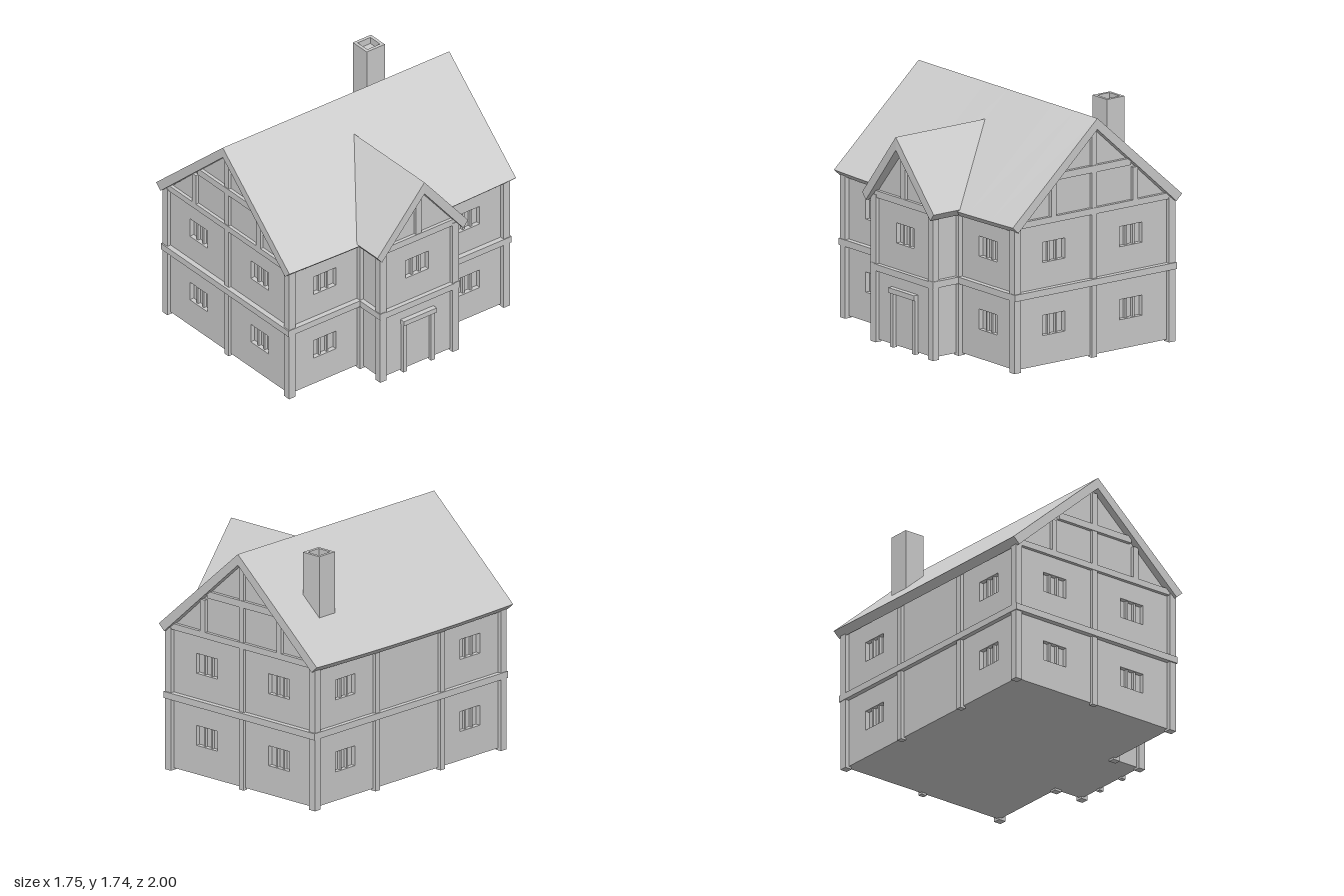
import * as THREE from 'three';

const material = new THREE.MeshStandardMaterial({ color: 0xcccccc, flatShading: true });
const RIDGE_X = -0.12, BASE = 0.015, SKIN = 0.035;

export function createModel() {
  const house = new THREE.Group();
  house.name = 'timberFramedHouse';

  const add = (name, geometry) => {
    const mesh = new THREE.Mesh(geometry, material);
    mesh.name = name;
    house.add(mesh);
    return mesh;
  };

  // Box given by its limits on each axis
  const beam = (name, x0, x1, y0, y1, z0, z1) =>
    add(name, new THREE.BoxGeometry(x1 - x0, y1 - y0, z1 - z0)
      .translate((x0 + x1) / 2, (y0 + y1) / 2, (z0 + z1) / 2));

  const shapeOf = (points) => new THREE.Shape(points.map(([x, y]) => new THREE.Vector2(x, y)));

  // Outline with rectangular openings [u0, u1, v0, v1], extruded along +z
  const extrude = (points, depth, holes = [], steps = 1) => {
    const shape = shapeOf(points);
    for (const [a, b, c, d] of holes) {
      shape.holes.push(new THREE.Path([[a, c], [a, d], [b, d], [b, c]].map(([x, y]) => new THREE.Vector2(x, y))));
    }
    return new THREE.ExtrudeGeometry(shape, { depth, steps, bevelEnabled: false });
  };

  // Gable outline: u limits, eave height, apex
  const gable = (u0, u1, eave, um, apex) => [[u0, BASE], [u1, BASE], [u1, eave], [um, apex], [u0, eave]];

  const floors = [[0.225, 0.37], [0.75, 0.895]];
  const windowsAt = (starts) => starts.flatMap((u) => floors.map(([a, b]) => [u, u + 0.2, a, b]));

  // Two upright bars in each window opening; facesX means the wall looks along x
  const bars = (holes, depth, facesX) => {
    for (const [a, b, c, d] of holes) {
      for (const t of [1 / 3, 2 / 3]) {
        const u = a + (b - a) * t, w = 0.008;
        if (facesX) beam('windowBar', depth - 0.012, depth + 0.012, c, d, -u - w, -u + w);
        else beam('windowBar', u - w, u + w, c, d, depth - 0.012, depth + 0.012);
      }
    }
  };

  // Inner cores, which also form the window panes
  const mainGable = gable(-0.8, 0.56, 1.03, RIDGE_X, 1.65);
  add('mainCore', extrude(gable(-0.765, 0.525, 1.03, RIDGE_X, 1.64), 1.82).translate(0, 0, -0.91));
  const wingGable = gable(-0.32, 0.32, 1.07, 0, 1.455);
  add('wingCore', extrude(wingGable, 0.655).rotateY(Math.PI / 2).translate(0.1, 0, 0));

  // Gable walls, front and back
  const gableWindows = windowsAt([-0.56, 0.125]);
  for (const s of [1, -1]) {
    add(s > 0 ? 'frontWall' : 'backWall', extrude(mainGable, SKIN, gableWindows))
      .position.z = s > 0 ? 0.91 : -0.945;
    bars(gableWindows, s * 0.92, false);
  }

  // Long side walls
  const sideWindows = windowsAt([-0.735, 0.535]);
  const sideOutline = [[-0.94, BASE], [0.94, BASE], [0.94, 1.04], [-0.94, 1.04]];
  for (const [name, x, barX] of [['rightWall', 0.525, 0.535], ['leftWall', -0.8, -0.775]]) {
    add(name, extrude(sideOutline, SKIN, sideWindows).rotateY(Math.PI / 2)).position.x = x;
    bars(sideWindows, barX, true);
  }

  // Wing front wall
  const wingWindow = [[-0.1, 0.1, 0.75, 0.895]];
  add('wingWall', extrude(wingGable, SKIN, wingWindow).rotateY(Math.PI / 2)).position.x = 0.755;
  bars(wingWindow, 0.765, true);

  // Timber frame on both gable ends
  for (const s of [1, -1]) {
    const gableBeam = (name, x0, x1, y0, y1, out = 0.97) =>
      beam(name, x0, x1, y0, y1, Math.min(s * 0.93, s * out), Math.max(s * 0.93, s * out));
    gableBeam('gableCentrePost', -0.142, -0.098, 0, 1.62, 0.965);
    gableBeam('gableFloorBeam', -0.835, 0.6, 0.52, 0.568, 0.985);
    gableBeam('gableEaveBeam', -0.8, 0.56, 1.03, 1.075);
    gableBeam('gableTieBeam', -0.44, 0.2, 1.33, 1.38);
    gableBeam('gableStrut', -0.503, -0.46, 1.07, 1.31);
    gableBeam('gableStrut', 0.218, 0.265, 1.07, 1.31);
    for (const [x0, x1] of [[-0.83, -0.775], [0.538, 0.595]]) {
      beam('cornerPost', x0, x1, 0, 1.04, s * 0.947 - 0.028, s * 0.947 + 0.028);
    }

    // Long wall and wing posts, mirrored in z
    beam('leftWallPost', -0.825, -0.78, 0, 1.04, s * 0.33 - 0.022, s * 0.33 + 0.022);
    beam('junctionPost', 0.54, 0.595, 0, 1.04, s * 0.325 - 0.025, s * 0.325 + 0.025);
    beam('wingCornerPost', 0.768, 0.82, 0, 1.06, s * 0.32 - 0.028, s * 0.32 + 0.028);
    beam('wingSideFloorBeam', 0.54, 0.824, 0.52, 0.568, s * 0.328 - 0.026, s * 0.328 + 0.026);
    beam('rightFloorBeam', 0.54, 0.6, 0.52, 0.568, s * 0.645 - 0.335, s * 0.645 + 0.335);
    beam('doorPost', 0.78, 0.815, 0, 0.39, s * 0.123 - 0.017, s * 0.123 + 0.017);
  }
  beam('leftFloorBeam', -0.835, -0.78, 0.52, 0.568, -0.98, 0.98);
  beam('wingFloorBeam', 0.77, 0.824, 0.515, 0.563, -0.35, 0.35);
  beam('wingEaveBeam', 0.77, 0.815, 1.04, 1.09, -0.32, 0.32);
  beam('wingGablePost', 0.77, 0.812, 1.08, 1.43, -0.024, 0.024);
  beam('doorLintel', 0.78, 0.828, 0.39, 0.427, -0.145, 0.145);

  // Main roof: chevron slab whose eaves sag gently mid-length
  const roof = extrude([[-0.87, 1.06], [-0.82, 1.015], [RIDGE_X, 1.645], [0.58, 1.015], [0.63, 1.06], [RIDGE_X, 1.725]], 2, [], 8)
    .translate(0, 0, -1);
  const p = roof.attributes.position;
  for (let i = 0; i < p.count; i++) {
    if (p.getY(i) > 1.2) continue;
    const sag = 0.01 * (1 - p.getZ(i) ** 2);
    p.setX(i, p.getX(i) + Math.sign(p.getX(i)) * sag);
    p.setY(i, p.getY(i) - sag);
  }
  roof.computeVertexNormals();
  add('mainRoof', roof);

  // Wing roof: the ridge leans out past the eaves at its outer end
  const wingRoof = extrude([[-0.4, 1.065], [-0.36, 1.015], [0, 1.45], [0.36, 1.015], [0.4, 1.065], [0, 1.545]], 0.77)
    .rotateY(Math.PI / 2).translate(0.085, 0, 0);
  const q = wingRoof.attributes.position;
  for (let i = 0; i < q.count; i++) {
    if (q.getX(i) > 0.5 && q.getY(i) > 1.2) q.setX(i, 0.875);
  }
  wingRoof.computeVertexNormals();
  add('wingRoof', wingRoof);

  // Hollow chimney with a sunken flue floor
  const chimney = extrude([[-0.078, -0.08], [0.078, -0.08], [0.078, 0.08], [-0.078, 0.08]], 0.59, [[-0.054, 0.054, -0.056, 0.056]])
    .rotateX(-Math.PI / 2);
  add('chimney', chimney).position.set(-0.527, 1.15, -0.61);
  beam('chimneyFlue', -0.585, -0.47, 1.2, 1.69, -0.67, -0.55);

  return house;
}
